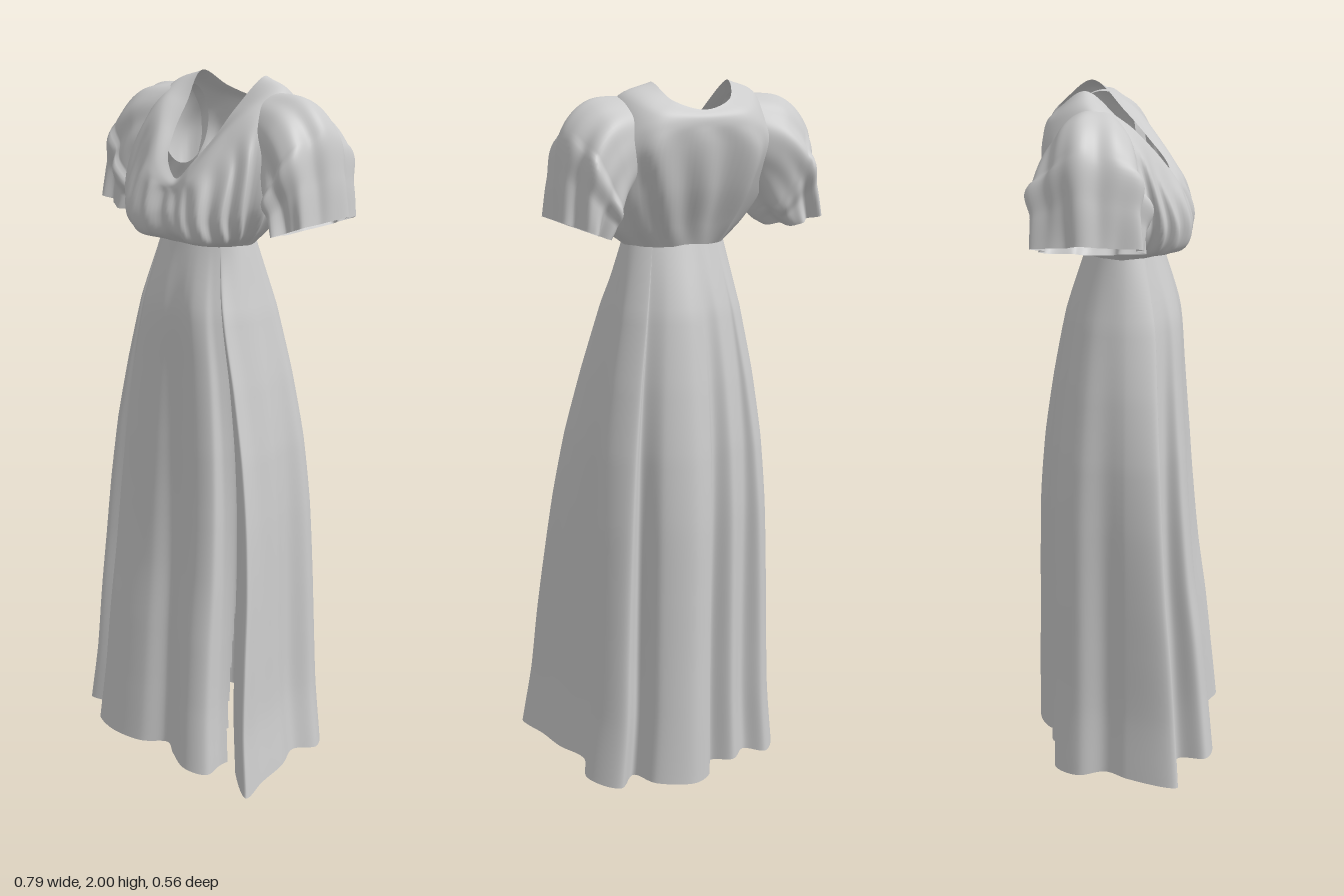
import * as THREE from 'three';

const V = (x, y, z) => new THREE.Vector3(x, y, z);
const cloth = new THREE.MeshStandardMaterial({ color: 0xcccccc, side: THREE.DoubleSide });

// Smooth cloth tube: rows run along v, columns wrap around u; skip() leaves openings.
function clothMesh(name, nu, nv, point, skip = () => false) {
  const pos = [], idx = [];
  for (let j = 0; j <= nv; j++) {
    for (let i = 0; i < nu; i++) pos.push(...point(i / nu, j / nv).toArray());
  }
  for (let j = 0; j < nv; j++) {
    for (let i = 0; i < nu; i++) {
      if (skip((i + 0.5) / nu, (j + 0.5) / nv)) continue;
      const a = j * nu + i, b = j * nu + (i + 1) % nu;
      idx.push(a, b, b + nu, a, b + nu, a + nu);
    }
  }
  const g = new THREE.BufferGeometry();
  g.setAttribute('position', new THREE.Float32BufferAttribute(pos, 3));
  g.setIndex(idx);
  g.computeVertexNormals();
  const mesh = new THREE.Mesh(g, cloth);
  mesh.name = name;
  return mesh;
}

// Skirt: an ellipse at the waist blending into a pleated hem outline.
function makeSkirt() {
  const hemPoints = [
    [0.01, 0.205], [0.08, 0.25], [0.15, 0.28], [0.21, 0.25], [0.205, 0.18], [0.225, 0.135],
    [0.27, 0.19], [0.37, 0.26], [0.345, 0.16], [0.33, 0.05], [0.295, -0.04], [0.32, -0.12],
    [0.25, -0.205], [0.2, -0.17], [0.16, -0.245], [0.06, -0.28], [-0.01, -0.245], [-0.04, -0.19],
    [-0.1, -0.225], [-0.16, -0.18], [-0.22, -0.205], [-0.28, -0.13], [-0.28, -0.05], [-0.32, 0.02],
    [-0.355, 0.17], [-0.27, 0.14], [-0.22, 0.165], [-0.23, 0.25], [-0.17, 0.27], [-0.06, 0.25],
  ];
  const hem = new THREE.CatmullRomCurve3(hemPoints.map(([x, z]) => V(x / 0.36, 0, z / 0.28)), true);
  // half width, front depth, back depth at even heights from hem to waist
  const profile = new THREE.CatmullRomCurve3([
    [0.37, 0.28, 0.28], [0.345, 0.26, 0.277], [0.335, 0.24, 0.272], [0.325, 0.215, 0.268],
    [0.312, 0.198, 0.262], [0.29, 0.185, 0.245], [0.253, 0.172, 0.215], [0.205, 0.158, 0.175],
    [0.148, 0.1, 0.11],
  ].map(p => V(...p)));
  const slitAt = 5 / hemPoints.length;
  return clothMesh('skirt', 300, 72, (u, v) => {
    const h = hem.getPoint(u), size = profile.getPoint(v);
    const a = Math.atan2(h.x, h.z), k = 1 - v ** 2.2;
    const x = THREE.MathUtils.lerp(Math.sin(a), h.x, k);
    const z = THREE.MathUtils.lerp(Math.cos(a), h.z, k);
    const hemY = 0.03 + 0.02 * h.z + 0.008 * Math.sin(u * 44);
    return V(x * size.x + 0.012 * (1 - v), hemY + v * (1.57 - hemY), z * (z > 0 ? size.y : size.z));
  }, (u, v) => v < 0.37 && Math.abs(u - slitAt) < 0.022 * (1 - v / 0.4));
}

// Bodice: half rings (front centre to back centre), waist up to neckline.
function makeBodice() {
  const halfRings = [
    [[0, 1.56, 0.1], [0.07, 1.56, 0.093], [0.112, 1.56, 0.068], [0.138, 1.56, 0.035],
      [0.15, 1.56, -0.01], [0.1, 1.56, -0.09], [0, 1.56, -0.11]],
    [[0, 1.6, 0.15], [0.09, 1.585, 0.16], [0.16, 1.59, 0.12], [0.185, 1.6, 0.06],
      [0.195, 1.61, -0.02], [0.13, 1.62, -0.12], [0, 1.62, -0.135]],
    [[0, 1.65, 0.16], [0.09, 1.64, 0.18], [0.17, 1.65, 0.14], [0.22, 1.67, 0.08],
      [0.24, 1.7, -0.03], [0.17, 1.72, -0.165], [0, 1.73, -0.18]],
    [[0, 1.7, 0.145], [0.08, 1.72, 0.165], [0.165, 1.78, 0.1], [0.22, 1.83, 0.05],
      [0.25, 1.84, -0.05], [0.19, 1.83, -0.195], [0, 1.85, -0.207]],
    [[0, 1.725, 0.14], [0.06, 1.76, 0.14], [0.12, 1.86, 0.07], [0.17, 1.93, 0],
      [0.2, 1.965, -0.09], [0.14, 1.92, -0.195], [0, 1.91, -0.207]],
    [[0, 1.74, 0.125], [0.045, 1.785, 0.11], [0.075, 1.85, 0.055], [0.09, 1.92, -0.01],
      [0.115, 2, -0.1], [0.085, 1.955, -0.17], [0, 1.93, -0.192]],
  ];
  const rings = halfRings.map(half => new THREE.CatmullRomCurve3([
    ...half, ...half.slice(1, -1).reverse().map(([x, y, z]) => [-x, y, z]),
  ].map(p => V(...p)), true));
  return clothMesh('bodice', 144, 44, (u, v) => {
    const p = new THREE.CatmullRomCurve3(rings.map(r => r.getPoint(u))).getPoint(v);
    // gathers fading out at the waist and the neckline
    const fold = Math.sin(Math.PI * Math.min(v * 1.4, 1)) * Math.sin(u * Math.PI * 36 + 3 * v);
    const s = 1 + 0.05 * fold;
    return V(p.x * s, p.y, p.z * s);
  });
}

// Puffed sleeve: rings spanned between a top line and an underarm line, ruffled at the hem.
function makeSleeve(side) {
  const path = pts => new THREE.CatmullRomCurve3(pts.map(p => V(...p)));
  const top = path([[0.15, 1.965, 0], [0.28, 1.95, 0], [0.35, 1.88, 0], [0.375, 1.76, 0], [0.385, 1.65, 0]]);
  const under = path([[0.16, 1.74, 0], [0.2, 1.68, 0], [0.22, 1.64, 0], [0.24, 1.615, 0], [0.26, 1.6, 0]]);
  const depth = path([[0.09, 0, 0], [0.125, 0, 0], [0.14, 0, 0], [0.14, 0, 0], [0.14, 0, 0]]);
  return clothMesh(side > 0 ? 'leftSleeve' : 'rightSleeve', 120, 36, (u, v) => {
    const a = u * Math.PI * 2, t = top.getPoint(v), b = under.getPoint(v);
    const ruffle = 1 + v * (0.13 * Math.sin(6 * a + side + 2 * v) + 0.05 * Math.sin(11 * a));
    const c = Math.cos(a) * ruffle * 0.5;
    const x = (t.x + b.x) / 2 + (t.x - b.x) * c;
    const y = (t.y + b.y) / 2 + (t.y - b.y) * c;
    const z = -0.075 + side * Math.sin(a) * depth.getPoint(v).x * ruffle;
    return V(side * x, y, z);
  });
}

export function createModel() {
  const dress = new THREE.Group();
  dress.name = 'dress';
  dress.add(makeSkirt(), makeBodice(), makeSleeve(1), makeSleeve(-1));
  return dress;
}
